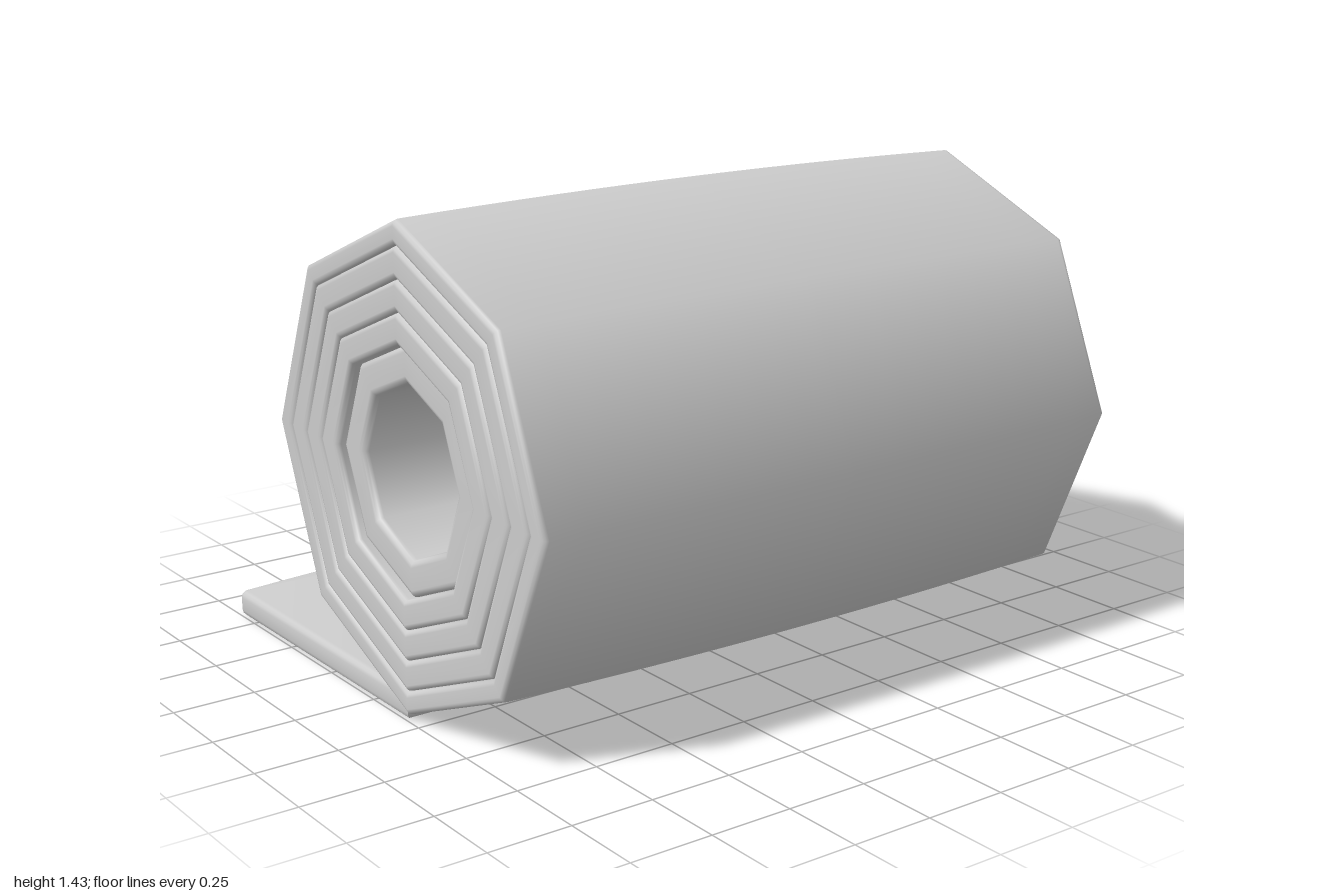
import * as THREE from 'three';
import { toCreasedNormals } from 'three/addons/utils/BufferGeometryUtils.js';

const SIDES = 8;
const CENTRE_Y = 0.716;
const CENTRE_Z = 0.19;

const material = new THREE.MeshStandardMaterial({ color: 0xcccccc });

// Eight-sided ring lying along x, with softened rims and an optional barrel bulge
function ring(name, inner, outer, half, bulge = 0, bevel = 0.018) {
  const end = [];
  const corner = (r, x, from) => {
    for (let i = 0; i <= 3; i++) {
      const a = from + (i / 3) * (Math.PI / 2);
      end.push([r + Math.cos(a) * bevel, x + Math.sin(a) * bevel]);
    }
  };
  corner(outer - bevel, half - bevel, 0);
  corner(inner + bevel, half - bevel, Math.PI / 2);

  const points = [];
  const add = (r, x) => points.push(new THREE.Vector2(r, x));
  const wall = half - bevel;
  for (let i = 0; i < 8; i++) {
    const t = i / 8;
    add(outer + bulge * (1 - t * t), wall * t);
  }
  end.forEach(([r, x]) => add(r, x));
  [...end].reverse().forEach(([r, x]) => add(r, -x));
  for (let i = 7; i >= 0; i--) {
    const t = i / 8;
    add(outer + bulge * (1 - t * t), -wall * t);
  }

  const geometry = new THREE.LatheGeometry(points, SIDES);
  geometry.rotateZ(-Math.PI / 2);
  const mesh = new THREE.Mesh(geometry, material);
  mesh.name = name;
  mesh.position.set(0, CENTRE_Y, CENTRE_Z);
  return mesh;
}

// Loose end of the sheet, flat on the ground with a bowed back edge
function looseEnd() {
  const bevel = 0.02, w = 0.998, c = 0.025;
  const shape = new THREE.Shape();
  shape.moveTo(-w, -CENTRE_Z);
  shape.lineTo(w, -CENTRE_Z);
  shape.lineTo(w, 0.85 - c);
  shape.quadraticCurveTo(w, 0.85, w - c, 0.853);
  shape.quadraticCurveTo(0, 0.967, -w + c, 0.853);
  shape.quadraticCurveTo(-w, 0.85, -w, 0.85 - c);
  shape.closePath();
  const geometry = new THREE.ExtrudeGeometry(shape, {
    depth: 0.08 - 2 * bevel,
    bevelThickness: bevel,
    bevelSize: bevel,
    bevelOffset: -bevel,
    bevelSegments: 3,
    curveSegments: 16,
  });
  geometry.rotateX(-Math.PI / 2);
  geometry.translate(0, bevel, 0);
  const mesh = new THREE.Mesh(toCreasedNormals(geometry, 0.6), material);
  mesh.name = 'looseEnd';
  return mesh;
}

export function createModel() {
  const model = new THREE.Group();
  model.name = 'roll';

  // Hollow core, set slightly back from the rolled layers
  model.add(ring('core', 0.25, 0.36, 0.975, 0, 0.022));

  // Rolled layers, the outermost bulging a little
  const radii = [0.36, 0.45, 0.54, 0.63, 0.7];
  for (let i = 0; i < 4; i++) {
    const outermost = i === 3;
    model.add(ring(`layer${i + 1}`, radii[i], radii[i + 1], 1, outermost ? 0.016 : 0));
  }

  model.add(looseEnd());
  return model;
}
